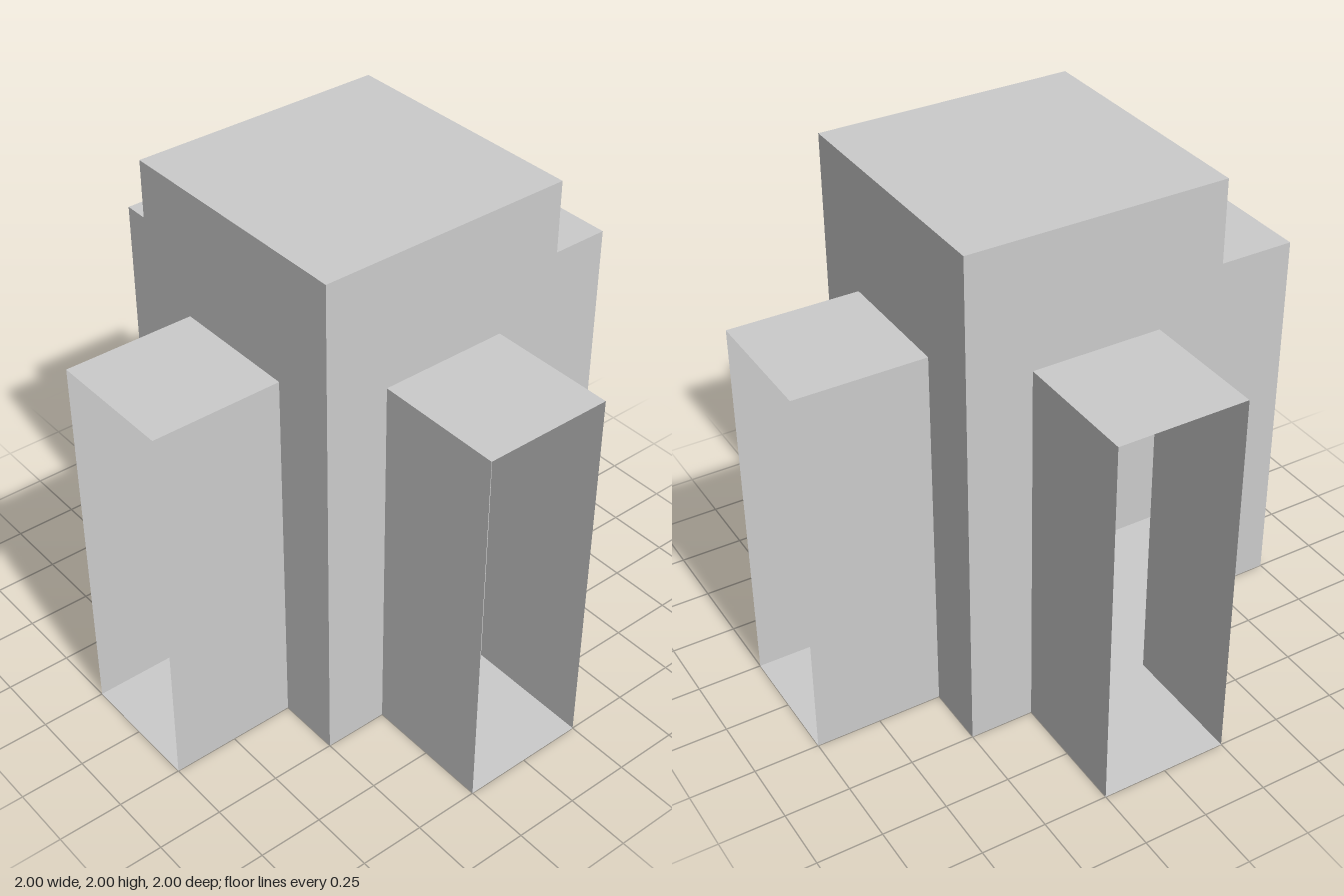
import * as THREE from 'three';

const material = new THREE.MeshStandardMaterial({ color: 0xcccccc, side: THREE.DoubleSide, flatShading: true });

function sheet(name, geometry, parent) {
  const mesh = new THREE.Mesh(geometry, material);
  mesh.name = name;
  parent.add(mesh);
  return mesh;
}

function polygon(points) {
  return new THREE.ShapeGeometry(new THREE.Shape(points.map(([x, y]) => new THREE.Vector2(x, y))));
}

export function createModel() {
  const model = new THREE.Group();
  model.name = 'crossPlanPavilion';
  const core = 0.5, arm = 0.25, reach = 1, armHeight = 1.5, height = 2;

  // Cross-shaped floor: core square plus four arms
  const outline = [];
  for (let i = 0; i < 4; i++) {
    const c = Math.round(Math.cos(i * Math.PI / 2)), s = Math.round(Math.sin(i * Math.PI / 2));
    for (const [x, y] of [[core, -core], [core, -arm], [reach, -arm], [reach, arm], [core, arm]]) {
      outline.push([x * c - y * s, x * s + y * c]);
    }
  }
  sheet('floor', polygon(outline).rotateX(-Math.PI / 2), model);

  // Flat roof of the hollow core
  sheet('coreRoof', new THREE.PlaneGeometry(2 * core, 2 * core).rotateX(-Math.PI / 2).translate(0, height, 0), model);

  // Four identical sides: core wall with doorway, and an open-ended porch
  ['front', 'left', 'back', 'right'].forEach((side, i) => {
    const group = new THREE.Group();
    group.name = side + 'Side';
    group.rotation.y = i * Math.PI / 2;
    model.add(group);

    sheet('coreWall', polygon([
      [-core, 0], [-arm, 0], [-arm, armHeight], [arm, armHeight],
      [arm, 0], [core, 0], [core, height], [-core, height],
    ]).translate(0, 0, core), group);

    const depth = reach - core, midZ = (reach + core) / 2;
    for (const sign of [-1, 1]) {
      sheet('porchWall', new THREE.PlaneGeometry(depth, armHeight)
        .rotateY(sign * Math.PI / 2).translate(sign * arm, armHeight / 2, midZ), group);
    }
    sheet('porchRoof', new THREE.PlaneGeometry(2 * arm, depth)
      .rotateX(-Math.PI / 2).translate(0, armHeight, midZ), group);
  });

  return model;
}
